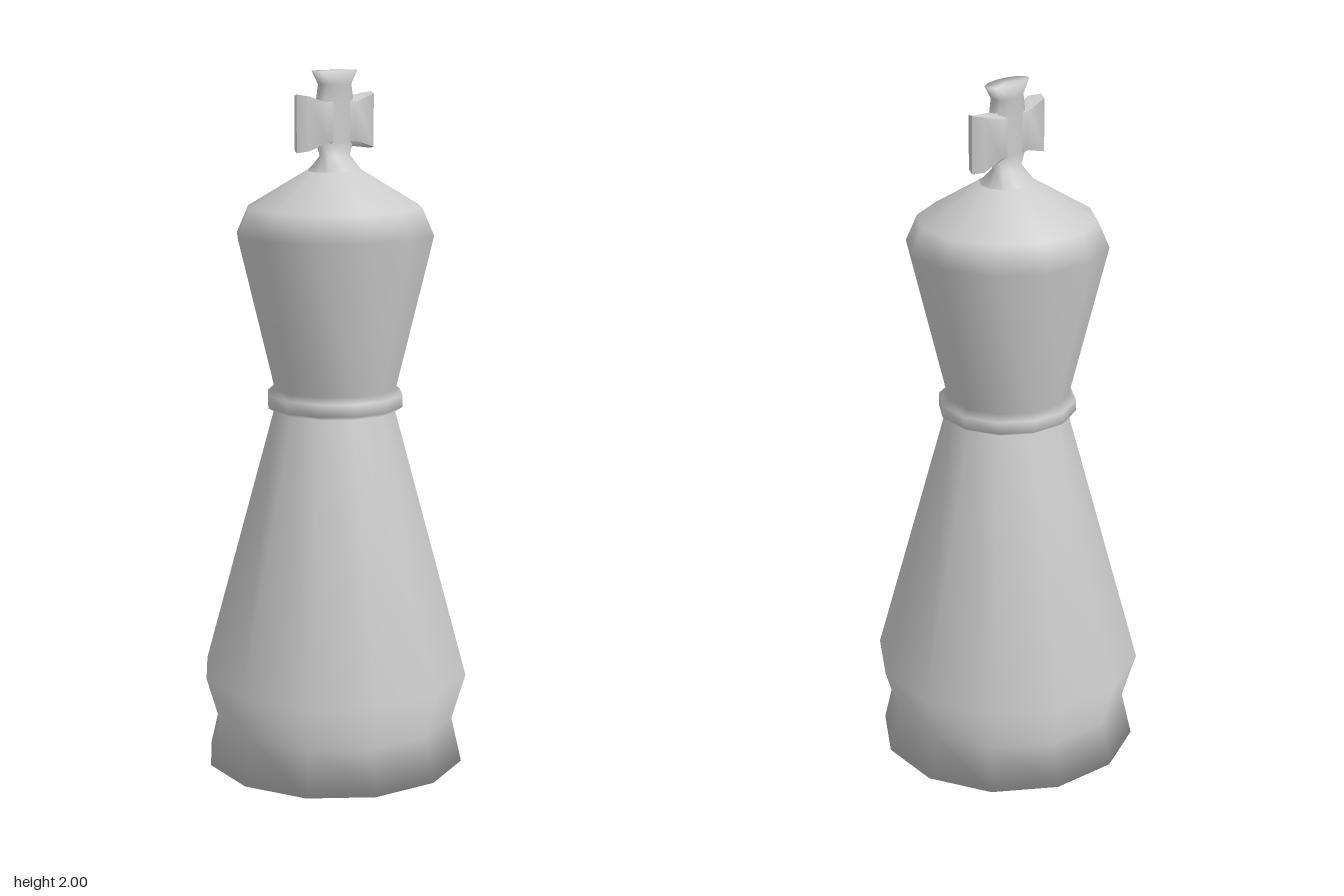
import * as THREE from 'three';
import { mergeVertices, toCreasedNormals } from 'three/addons/utils/BufferGeometryUtils.js';

const SIDES = 12;
const material = new THREE.MeshStandardMaterial({ color: 0xcccccc });

// Turned shape from [radius, y] points, optionally flattened in x by widths[y index]
function turned(name, points, widths) {
  const profile = points.map(([r, y]) => new THREE.Vector2(r, y));
  let geometry = new THREE.LatheGeometry(profile, SIDES);
  if (widths) {
    const pos = geometry.attributes.position;
    for (let i = 0; i < pos.count; i++) {
      const k = i % points.length;
      if (points[k][0] > 0) pos.setX(i, pos.getX(i) * widths[k] / points[k][0]);
    }
  }
  geometry.deleteAttribute('normal');
  geometry.deleteAttribute('uv');
  geometry = mergeVertices(geometry, 1e-4);
  geometry.computeVertexNormals();
  const mesh = new THREE.Mesh(geometry, material);
  mesh.name = name;
  return mesh;
}

// Cross bar: pointed plan shape, with arms that grow taller toward the tips
function crossBar() {
  const w = 0.027, inner = 0.06, outer = 0.135, tip = 0.155;
  const half = [[w, -outer], [w, -inner], [w, inner], [w, outer], [0, tip]];
  const plan = [...half, ...half.map(([x, z]) => [-x, -z])];
  const shape = new THREE.Shape(plan.map(([x, z]) => new THREE.Vector2(x, z)));
  const geometry = new THREE.ExtrudeGeometry(shape, { depth: 1, bevelEnabled: false });
  geometry.translate(0, 0, -0.5);
  geometry.rotateX(-Math.PI / 2);
  const pos = geometry.attributes.position;
  for (let i = 0; i < pos.count; i++) {
    const flare = Math.max(0, Math.abs(pos.getZ(i)) - inner) / (tip - inner);
    const halfHeight = 0.055 + 0.025 * flare;
    pos.setY(i, 1.858 + Math.sign(pos.getY(i)) * halfHeight);
  }
  const mesh = new THREE.Mesh(toCreasedNormals(geometry, 1), material);
  mesh.name = 'crossBar';
  return mesh;
}

export function createModel() {
  const group = new THREE.Group();
  group.name = 'chessKing';

  // Base, waist, collar and crown as one smooth turned piece
  group.add(turned('body', [
    [0, 0], [0.38, 0], [0.35, 0.13], [0.39, 0.265],
    [0.177, 1.04], [0.198, 1.053], [0.198, 1.088], [0.178, 1.105],
    [0.285, 1.545], [0.252, 1.62], [0.085, 1.72], [0, 1.755],
  ]));

  // Flattened upright of the cross, rising out of the crown
  group.add(turned('crossUpright', [
    [0.085, 1.715], [0.052, 1.765], [0.072, 1.805], [0.072, 1.91],
    [0.057, 1.962], [0.086, 2], [0, 2],
  ], [0.085, 0.032, 0.031, 0.031, 0.036, 0.038, 0]));

  group.add(crossBar());
  return group;
}
